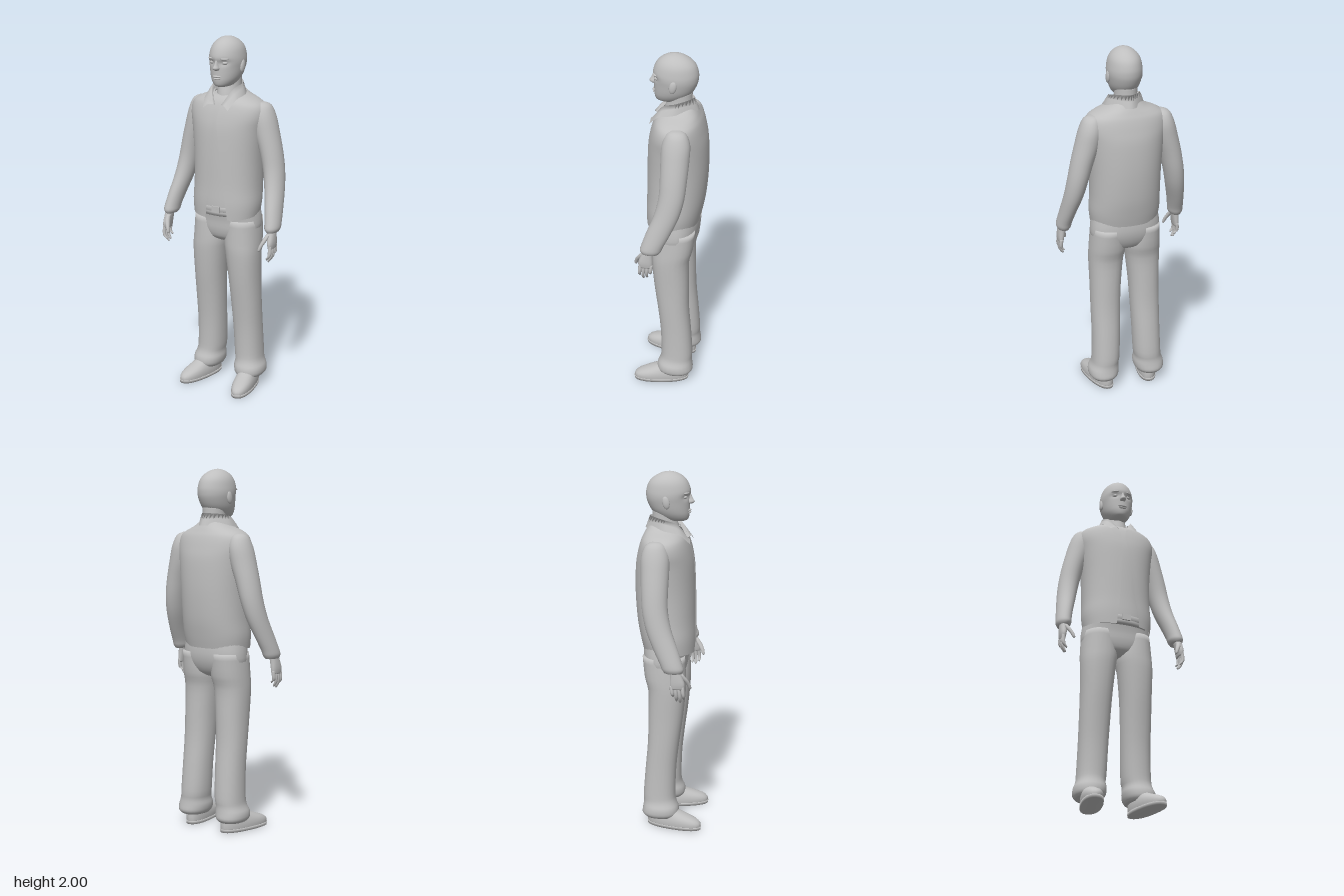
import * as THREE from 'three';

const clothGrey = new THREE.MeshStandardMaterial({ color: 0xbfbfbf, side: THREE.DoubleSide });
clothGrey.name = 'plain grey';

const spow = (v, e) => Math.sign(v) * Math.abs(v) ** e;

// Catmull-Rom resampling of section rows
function refine(rows, steps) {
  const out = [];
  for (let i = 0; i < rows.length - 1; i++) {
    const [a, b, c, d] = [rows[Math.max(i - 1, 0)], rows[i], rows[i + 1], rows[Math.min(i + 2, rows.length - 1)]];
    for (let s = 0; s < steps; s++) {
      const t = s / steps;
      out.push(b.map((q, k) => q + 0.5 * t * (c[k] - a[k] + t * (2 * a[k] - 5 * q + 4 * c[k] - d[k] + t * (3 * (q - c[k]) + d[k] - a[k])))));
    }
  }
  out.push(rows[rows.length - 1]);
  return out;
}

// Surface from rows of points; closed rings get end caps
function skin(rows, closed) {
  const n = rows[0].length, pos = rows.flat(2), idx = [];
  for (let r = 0; r < rows.length - 1; r++)
    for (let c = 0; c < (closed ? n : n - 1); c++) {
      const d = (c + 1) % n, a = r * n + c, b = r * n + d;
      idx.push(a, a + n, b, b, a + n, b + n);
    }
  if (closed) {
    [0, rows.length - 1].forEach((r) => {
      const centre = pos.length / 3;
      pos.push(...[0, 1, 2].map((k) => rows[r].reduce((s, p) => s + p[k], 0) / n));
      for (let c = 0; c < n; c++) {
        const a = r * n + c, b = r * n + (c + 1) % n;
        idx.push(centre, ...(r ? [b, a] : [a, b]));
      }
    });
  }
  const g = new THREE.BufferGeometry();
  g.setAttribute('position', new THREE.Float32BufferAttribute(pos, 3));
  g.setIndex(idx);
  g.computeVertexNormals();
  return g;
}

// Section, top to bottom: [y, centre x, half width, front z, back z]
function loft(sections, { seg = 24, steps = 3, power = 2, side = 1, rule } = {}) {
  const rows = refine(sections, steps).map(([y, cx, hw, zf, zb]) =>
    Array.from({ length: seg }, (_, i) => {
      const a = (i / seg) * Math.PI * 2, e = 2 / power;
      const p = [side * cx + hw * spow(Math.sin(a), e), y, (zf + zb) / 2 + (zf - zb) / 2 * spow(Math.cos(a), e)];
      return rule ? rule(p) : p;
    }));
  return skin(rows, true);
}

export function createModel() {
  const model = new THREE.Group();
  const add = (name, geo, parent = model) => {
    const m = new THREE.Mesh(geo, clothGrey);
    m.name = name;
    parent.add(m);
    return m;
  };
  const blob = (name, at, size) => {
    const m = add(name, new THREE.SphereGeometry(1, 16, 10));
    m.position.set(...at);
    m.scale.set(...size);
    return m;
  };

  // Head with shallow eye sockets
  const socket = ([x, y, z]) => {
    const d = ((Math.abs(x) - 0.038) / 0.024) ** 2 + ((y - 1.868) / 0.016) ** 2;
    return [x, y, z > 0 ? z - 0.012 * Math.exp(-d) : z];
  };
  add('head', loft([
    [2.0, 0, 0.004, 0.0, -0.01], [1.992, 0, 0.034, 0.036, -0.05], [1.97, 0, 0.064, 0.073, -0.09],
    [1.94, 0, 0.083, 0.096, -0.118], [1.90, 0, 0.092, 0.109, -0.131], [1.87, 0, 0.094, 0.107, -0.132],
    [1.84, 0, 0.09, 0.103, -0.126], [1.80, 0, 0.081, 0.103, -0.107], [1.77, 0, 0.068, 0.102, -0.08],
    [1.745, 0, 0.048, 0.094, -0.05], [1.735, 0, 0.025, 0.075, -0.03],
  ], { seg: 36, steps: 4, rule: socket }));
  add('nose', loft([
    [1.885, 0, 0.007, 0.108, 0.08], [1.858, 0, 0.011, 0.12, 0.08],
    [1.84, 0, 0.018, 0.13, 0.08], [1.829, 0, 0.013, 0.116, 0.085],
  ], { seg: 14 }));
  blob('upperLip', [0, 1.795, 0.1], [0.027, 0.006, 0.012]);
  blob('lowerLip', [0, 1.783, 0.099], [0.022, 0.006, 0.012]);
  for (const s of [1, -1]) {
    blob('eye', [s * 0.038, 1.868, 0.08], [0.016, 0.01, 0.014]);
    blob('brow', [s * 0.038, 1.89, 0.09], [0.026, 0.006, 0.013]).rotation.y = s * 0.4;
    blob('ear', [s * 0.091, 1.845, -0.012], [0.011, 0.035, 0.02]).rotation.x = -0.2;
  }
  add('neck', loft([
    [1.8, 0, 0.062, 0.03, -0.1], [1.74, 0, 0.062, 0.035, -0.1],
    [1.69, 0, 0.066, 0.05, -0.105], [1.6, 0, 0.08, 0.07, -0.11],
  ]));

  // Jacket body: torso sections plus left and right opening edges
  const torso = [
    [1.715, 0, 0.075, 0.045, -0.115, 0.055, -0.055], [1.69, 0, 0.115, 0.065, -0.13, 0.05, -0.05],
    [1.665, 0, 0.175, 0.085, -0.143, 0.036, -0.036], [1.635, 0, 0.215, 0.1, -0.157, 0.022, -0.022],
    [1.58, 0, 0.225, 0.117, -0.172, 0.012, -0.012], [1.5, 0, 0.212, 0.131, -0.186, 0.02, -0.012],
    [1.35, 0, 0.198, 0.138, -0.19, 0.042, -0.02], [1.2, 0, 0.195, 0.141, -0.18, 0.06, -0.03],
    [1.1, 0, 0.198, 0.145, -0.163, 0.076, -0.042], [1.03, 0, 0.19, 0.143, -0.147, 0.085, -0.05],
  ];
  const power = 2.2;
  const jacketRows = refine(torso, 4).map(([y, , hw, zf, zb, xl, xr]) => {
    const edge = (x) => Math.asin((Math.abs(x) / hw) ** (power / 2));
    const from = edge(xl), to = Math.PI * 2 - edge(xr), n = 48;
    return Array.from({ length: n + 1 }, (_, i) => {
      const a = from + (to - from) * i / n;
      // hem dips towards the front corners
      const dip = y < 1.12 ? 0.015 * Math.max(0, Math.cos(a)) * (1.12 - y) / 0.09 : 0;
      return [hw * spow(Math.sin(a), 2 / power), y - dip, (zf + zb) / 2 + (zf - zb) / 2 * spow(Math.cos(a), 2 / power)];
    });
  });
  add('jacketBody', skin(jacketRows, false));
  add('shirt', loft(torso.slice(1).map(([y, , hw, zf, zb]) => [y, 0, hw - 0.022, zf - 0.018, zb + 0.02]), { power, seg: 32 }));

  // Folded collar: inner stand, top fold, pointed outer flap
  const run = (front, corner, sidePt, back) => {
    const half = [front, corner, sidePt];
    const pts = [...half, back, ...half.slice().reverse().map(([x, y, z]) => [-x, y, z])];
    return new THREE.CatmullRomCurve3(pts.map((p) => new THREE.Vector3(...p))).getPoints(40).map((p) => p.toArray());
  };
  add('collar', skin([
    run([0.02, 1.635, 0.085], [0.058, 1.69, 0.045], [0.073, 1.70, -0.03], [0, 1.70, -0.108]),
    run([0.026, 1.645, 0.1], [0.068, 1.725, 0.045], [0.083, 1.752, -0.03], [0, 1.762, -0.112]),
    run([0.05, 1.645, 0.112], [0.084, 1.705, 0.05], [0.092, 1.73, -0.03], [0, 1.73, -0.124]),
    run([0.078, 1.622, 0.117], [0.1, 1.675, 0.06], [0.105, 1.693, -0.03], [0, 1.695, -0.137]),
  ], false));

  // Belt and trouser seat
  add('belt', loft([[1.085, 0, 0.186, 0.118, -0.14], [1.08, 0, 0.19, 0.128, -0.143], [1.055, 0, 0.19, 0.128, -0.143], [1.05, 0, 0.186, 0.118, -0.14]], { power, steps: 1, seg: 32 }));
  add('buckle', new THREE.BoxGeometry(0.05, 0.035, 0.012)).position.set(0.01, 1.067, 0.128);
  add('trouserSeat', loft([
    [1.08, 0, 0.185, 0.115, -0.14], [1.0, 0, 0.197, 0.1, -0.145], [0.94, 0, 0.192, 0.096, -0.135],
    [0.89, 0, 0.14, 0.08, -0.11], [0.865, 0, 0.06, 0.04, -0.07],
  ], { power: 2.3, seg: 32 }));

  for (const side of [1, -1]) {
    const limb = new THREE.Group();
    limb.name = side > 0 ? 'leftLimbs' : 'rightLimbs';
    model.add(limb);

    add('trouserLeg', loft([
      [1.0, 0.105, 0.088, 0.095, -0.14], [0.88, 0.102, 0.1, 0.1, -0.128], [0.8, 0.108, 0.096, 0.1, -0.108],
      [0.65, 0.114, 0.087, 0.086, -0.108], [0.5, 0.118, 0.083, 0.066, -0.111], [0.35, 0.121, 0.08, 0.05, -0.124],
      [0.2, 0.126, 0.079, 0.045, -0.135], [0.15, 0.132, 0.078, 0.05, -0.133], [0.115, 0.137, 0.087, 0.064, -0.137],
      [0.08, 0.14, 0.084, 0.066, -0.141], [0.06, 0.14, 0.07, 0.05, -0.125],
    ], { power: 2.2, side }), limb);

    // Shoe with a flat sole, toes turned out
    const shoe = new THREE.Group();
    shoe.name = 'shoe';
    shoe.position.set(side * 0.152, 0, 0.04);
    shoe.rotation.y = side * 0.2;
    limb.add(shoe);
    add('shoeUpper', loft([
      [0.13, 0, 0.035, 0.0, -0.13], [0.1, 0, 0.043, 0.02, -0.148], [0.075, 0, 0.05, 0.085, -0.152],
      [0.055, 0, 0.055, 0.135, -0.154], [0.035, 0, 0.057, 0.158, -0.155], [0.015, 0, 0.056, 0.16, -0.154],
    ], { power: 2.3 }), shoe);
    add('sole', loft([[0.018, 0, 0.058, 0.163, -0.157], [0, 0, 0.057, 0.161, -0.155]], { power: 2.3, steps: 1 }), shoe);

    add('sleeve', loft([
      [1.655, 0.19, 0.02, -0.03, -0.07], [1.637, 0.197, 0.045, 0.0, -0.105], [1.58, 0.205, 0.063, 0.022, -0.127],
      [1.5, 0.222, 0.068, 0.025, -0.127], [1.4, 0.252, 0.062, 0.023, -0.121], [1.3, 0.275, 0.057, 0.026, -0.112],
      [1.2, 0.294, 0.052, 0.048, -0.088], [1.1, 0.315, 0.045, 0.086, -0.045], [1.03, 0.328, 0.042, 0.11, -0.01],
      [1.0, 0.331, 0.04, 0.118, 0.002], [0.982, 0.332, 0.03, 0.11, 0.015],
    ], { side }), limb);

    // Hand: palm, four fingers and a thumb
    add('palm', loft([
      [1.01, 0.333, 0.022, 0.095, 0.045], [0.97, 0.338, 0.021, 0.11, 0.047],
      [0.925, 0.343, 0.018, 0.126, 0.046], [0.895, 0.344, 0.013, 0.122, 0.048],
    ], { seg: 16, power: 2.4, side }), limb);
    for (let i = 0; i < 4; i++) {
      const z = 0.055 + i * 0.0195, tip = [0.845, 0.822, 0.815, 0.832][i], x = 0.345;
      const f = (y, cx, r, dz) => [y, cx, r, z + dz + r, z + dz - r];
      add('finger', loft([
        f(0.915, x, 0.01, 0), f(0.88, x + 0.003, 0.0105, 0.003), f((0.88 + tip) / 2, x, 0.009, 0.006),
        f(tip + 0.008, x - 0.012, 0.007, 0.006), f(tip, x - 0.015, 0.002, 0.006),
      ], { seg: 10, side }), limb);
    }
    add('thumb', loft([
      [0.975, 0.33, 0.012, 0.115, 0.085], [0.945, 0.32, 0.013, 0.138, 0.108],
      [0.915, 0.307, 0.011, 0.152, 0.128], [0.89, 0.299, 0.008, 0.156, 0.14], [0.883, 0.298, 0.002, 0.151, 0.146],
    ], { seg: 10, side }), limb);
  }
  return model;
}
